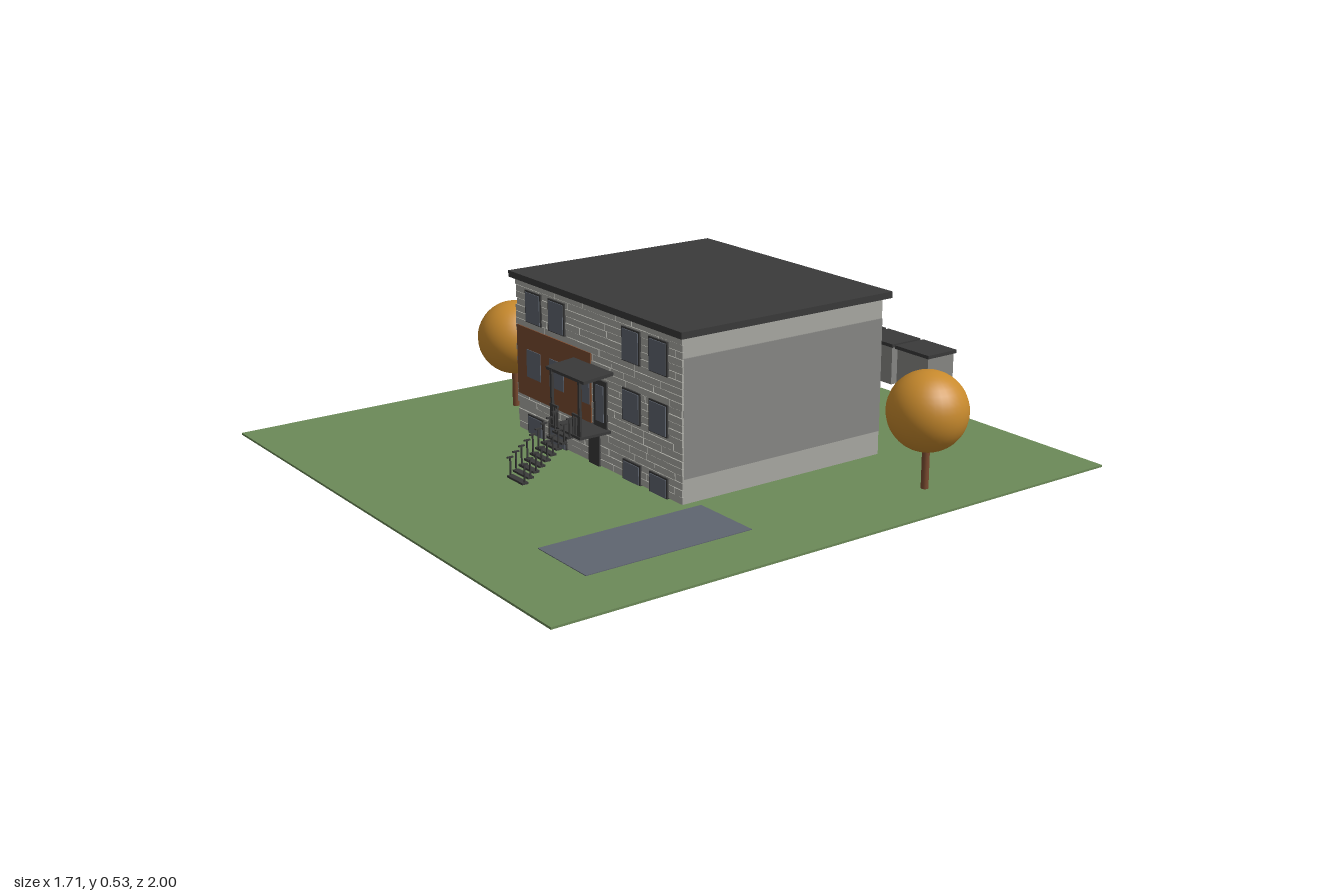
import * as THREE from 'three';

const mat = (name, color) => {
  const m = new THREE.MeshStandardMaterial({ color });
  m.name = name;
  return m;
};

export function createModel() {
  const model = new THREE.Group();
  const grass = mat('grass', 0x6c8a58);
  const wall = mat('pale wall', 0xa9a9a3);
  const panelGrey = mat('grey panel', 0x878784);
  const dark = mat('dark metal', 0x3a3a3a);
  const glass = mat('glass and asphalt', 0x5f6570);
  const brown = mat('brown', 0x7a4b30);
  const leaf = mat('autumn leaves', 0xc88a2d);

  // Box given by its lower and upper limits on each axis
  const box = (parent, name, material, x0, x1, y0, y1, z0, z1) => {
    const mesh = new THREE.Mesh(new THREE.BoxGeometry(x1 - x0, y1 - y0, z1 - z0), material);
    mesh.position.set((x0 + x1) / 2, (y0 + y1) / 2, (z0 + z1) / 2);
    mesh.name = name;
    parent.add(mesh);
    return mesh;
  };
  const group = (name) => {
    const g = new THREE.Group();
    g.name = name;
    model.add(g);
    return g;
  };
  let seed = 7;
  const random = () => (seed = (seed * 16807) % 2147483647) / 2147483647;

  // Lawn and parking space
  box(model, 'lawn', grass, -0.855, 0.855, 0.043, 0.049, -0.84, 1);
  box(model, 'parkingSpace', glass, 0.44, 0.657, 0.048, 0.051, 0.265, 0.775);

  // House body, side panels and roof
  const house = group('house');
  box(house, 'walls', wall, -0.408, 0.408, 0.047, 0.515, -0.394, 0.303);
  for (const s of [-1, 1]) {
    const x = s * 0.409;
    box(house, 'sidePanel', panelGrey, x - 0.003, x + 0.003, 0.12, 0.453, -0.392, 0.3);
  }
  box(house, 'roof', dark, -0.43, 0.427, 0.512, 0.531, -0.413, 0.32);

  // Brick courses of uneven length on the front wall
  const bricks = group('brickFacade');
  for (let row = 0; row < 23; row++) {
    const y = 0.052 + row * 0.02;
    let x = -0.409 - random() * 0.006;
    while (x < 0.39) {
      const end = Math.min(x + 0.05 + random() * 0.12, 0.412);
      const depth = 0.305 + random() * 0.003;
      box(bricks, 'brick', wall, x, end, y, y + 0.0185, 0.3, depth);
      x = end + 0.002;
    }
  }

  // Brown cladding
  box(house, 'cladding', brown, -0.405, -0.015, 0.162, 0.372, 0.303, 0.311);

  // Windows, with dark frames except on the cladding
  const windows = group('windows');
  for (const [y0, y1] of [[0.39, 0.486], [0.221, 0.313], [0.047, 0.107]]) {
    for (const x of [-0.313, -0.189, 0.182, 0.308]) {
      const clad = x < 0 && y0 > 0.2 && y0 < 0.3;
      const half = clad ? 0.037 : 0.042;
      if (!clad) box(windows, 'windowFrame', dark, x - half, x + half, y0, y1, 0.303, 0.311);
      const h = clad ? half : half - 0.005;
      box(windows, 'windowGlass', glass, x - h, x + h, y0 + 0.003, y1 - 0.005, 0.308, 0.3135);
    }
  }

  // Entrance doors
  const porch = group('porch');
  box(porch, 'doorFrame', dark, -0.002, 0.062, 0.165, 0.305, 0.303, 0.311);
  box(porch, 'doorGlass', glass, 0.012, 0.05, 0.185, 0.29, 0.308, 0.3135);
  box(porch, 'porchWindow', glass, -0.056, -0.02, 0.221, 0.29, 0.308, 0.3135);
  box(porch, 'basementDoor', dark, -0.028, 0.025, 0, 0.15, 0.306, 0.312);

  // Railing along x at a fixed depth
  const railing = (parent, x0, x1, y, z) => {
    const n = Math.max(2, Math.round((x1 - x0) / 0.012));
    for (let i = 0; i <= n; i++) {
      const x = x0 + ((x1 - x0) * i) / n;
      box(parent, 'baluster', dark, x - 0.002, x + 0.002, y, y + 0.06, z - 0.002, z + 0.002);
    }
    box(parent, 'handrail', dark, x0 - 0.003, x1 + 0.003, y + 0.058, y + 0.064, z - 0.003, z + 0.003);
  };

  // Open stair flight: treads, balusters and short handrail pieces
  const flight = (parent, x0, x1, yTop, yEnd, zTop, zEnd, n) => {
    const run = (zEnd - zTop) / n;
    const half = Math.abs(run) * 0.52;
    for (let i = 0; i < n; i++) {
      const y = yTop + ((yEnd - yTop) * (i + 0.5)) / n;
      const z = zTop + run * (i + 0.5);
      box(parent, 'tread', dark, x0, x1, y - 0.003, y + 0.003, z - half, z + half);
      for (const x of [x0 + 0.003, x1 - 0.003]) {
        box(parent, 'stairBaluster', dark, x - 0.002, x + 0.002, y, y + 0.055, z - 0.002, z + 0.002);
        box(parent, 'stairRail', dark, x - 0.003, x + 0.003, y + 0.053, y + 0.057, z - half, z + half);
      }
    }
  };

  // Front porch landing, posts, canopy and stairs
  box(porch, 'landing', dark, -0.08, 0.077, 0.16, 0.168, 0.303, 0.408);
  for (const x of [-0.072, 0.068]) {
    box(porch, 'post', dark, x - 0.004, x + 0.004, 0.165, 0.328, 0.398, 0.406);
  }
  railing(porch, -0.077, -0.043, 0.165, 0.404);
  railing(porch, 0.037, 0.073, 0.165, 0.404);
  const canopy = box(porch, 'canopy', dark, -0.098, 0.094, 0.328, 0.337, 0.303, 0.405);
  canopy.rotation.x = 0.1;
  flight(porch, -0.043, 0.037, 0.165, 0.05, 0.405, 0.572, 9);

  // Back landings with one flight each
  const back = group('backStairs');
  for (const y of [0.165, 0.34]) {
    box(back, 'backLanding', dark, -0.32, -0.098, y - 0.004, y + 0.004, -0.518, -0.39);
  }
  railing(back, -0.317, -0.17, 0.34, -0.515);
  railing(back, -0.248, -0.101, 0.165, -0.515);
  flight(back, -0.166, -0.098, 0.345, 0.18, -0.515, -0.763, 13);
  flight(back, -0.32, -0.252, 0.165, 0.05, -0.515, -0.69, 9);

  // Trees
  const trunkShape = new THREE.CylinderGeometry(0.011, 0.011, 0.14, 12);
  const crownShape = new THREE.SphereGeometry(0.113, 32, 20);
  for (const [x, z] of [[-0.667, -0.622], [0.694, -0.306], [-0.604, 0.2]]) {
    const tree = group('tree');
    tree.position.set(x, 0, z);
    const trunk = new THREE.Mesh(trunkShape, brown);
    trunk.name = 'trunk';
    trunk.position.y = 0.118;
    const crown = new THREE.Mesh(crownShape, leaf);
    crown.name = 'crown';
    crown.position.y = 0.27;
    tree.add(trunk, crown);
  }

  // Storage bins behind the lawn
  for (const x of [-0.301, -0.136, 0.029]) {
    const bin = group('storageBin');
    box(bin, 'binBody', panelGrey, x - 0.07, x + 0.07, 0.052, 0.178, -0.993, -0.882);
    box(bin, 'binLid', dark, x - 0.076, x + 0.076, 0.177, 0.188, -1, -0.877);
  }
  return model;
}
